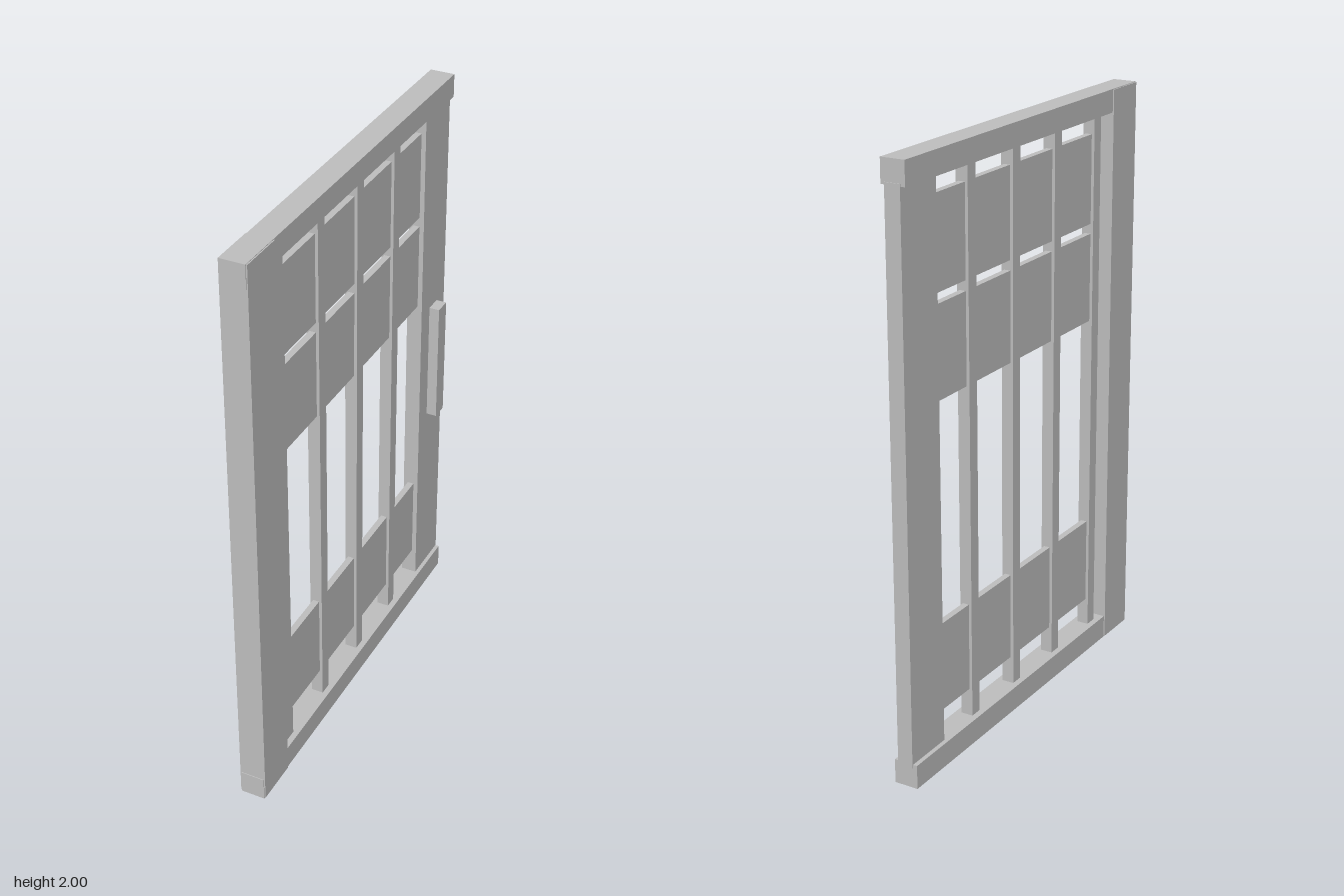
import * as THREE from 'three';

export function createModel() {
  const group = new THREE.Group();
  group.name = 'barredDoor';
  const grey = new THREE.MeshStandardMaterial({ color: 0xc0c0c0 });
  grey.name = 'grey';

  // box given by its extents on each axis
  const slab = (name, [x0, x1], [y0, y1], [z0, z1]) => {
    const mesh = new THREE.Mesh(new THREE.BoxGeometry(x1 - x0, y1 - y0, z1 - z0), grey);
    mesh.name = name;
    mesh.position.set((x0 + x1) / 2, (y0 + y1) / 2, (z0 + z1) / 2);
    group.add(mesh);
  };

  // frame
  slab('topRail', [-0.052, 0.031], [1.922, 2], [-0.69, 0.694]);
  slab('bottomRail', [-0.052, 0.031], [0, 0.082], [-0.69, 0.694]);
  slab('hingePost', [-0.056, 0.035], [0.003, 1.998], [0.534, 0.691]);
  slab('latchStile', [-0.037, 0.017], [0.07, 1.93], [-0.693, -0.51]);

  // upright bars
  for (let i = 0; i < 4; i++) {
    const z = 0.471 - i * 0.26;
    slab('uprightBar' + (i + 1), [-0.031, 0.011], [0.07, 1.93], [z - 0.022, z + 0.022]);
  }

  // cross panels threaded through the bars
  const panels = { upperPanel: [1.56, 1.862], middlePanel: [1.222, 1.526], lowerPanel: [0.178, 0.481] };
  for (const [name, y] of Object.entries(panels)) {
    slab(name, [-0.021, 0.001], y, [-0.515, 0.455]);
  }

  // pull handle
  slab('handle', [0.01, 0.053], [0.752, 1.186], [-0.633, -0.574]);

  return group;
}
